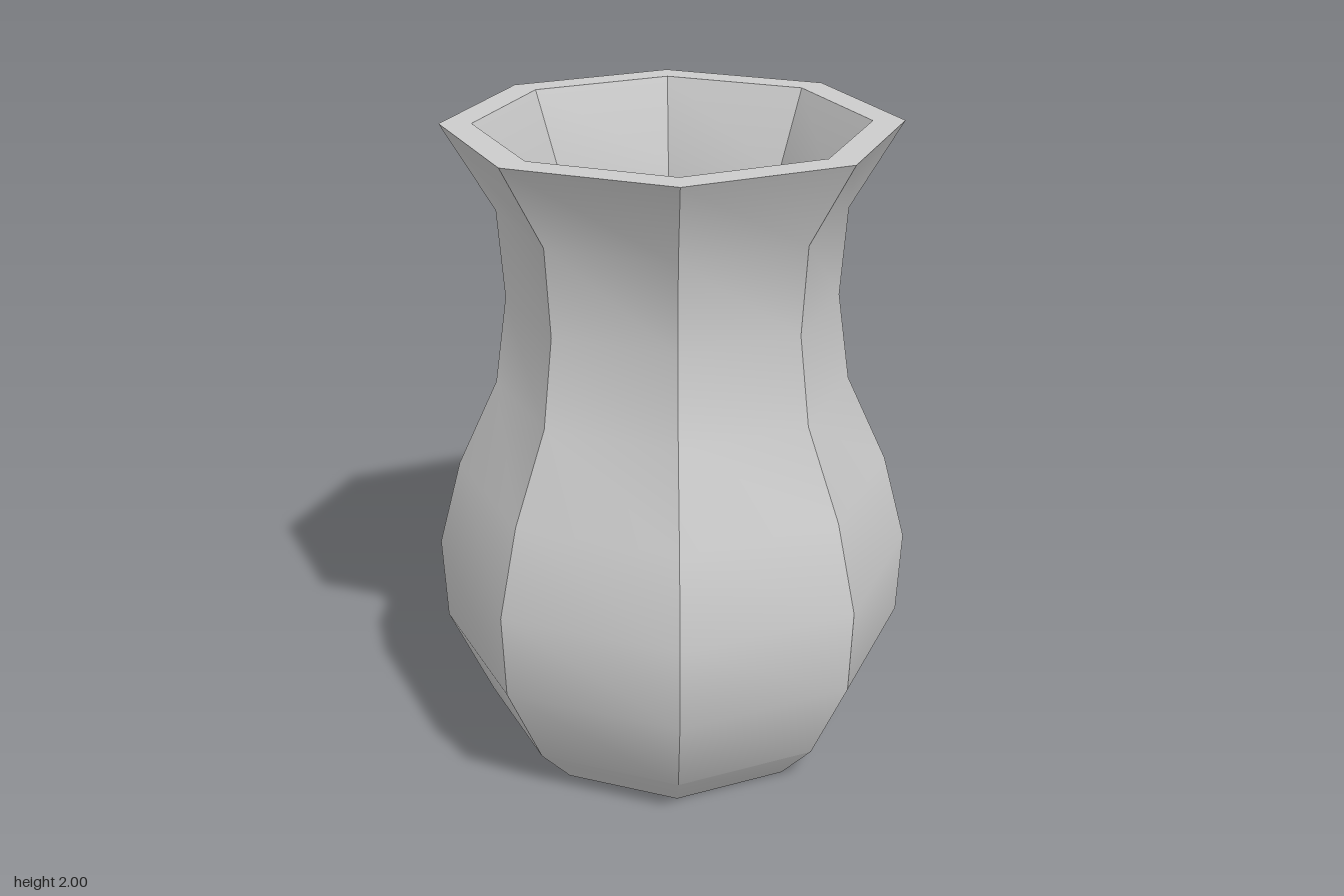
import * as THREE from 'three';
import { toCreasedNormals } from 'three/addons/utils/BufferGeometryUtils.js';

const SIDES = 8;
const CREASE = THREE.MathUtils.degToRad(35);

export function createModel() {
  const group = new THREE.Group();
  group.name = 'vase';

  // Outer wall, foot to lip: [radius, height]
  const outer = [
    [0, 0], [0.47, 0], [0.585, 0.125], [0.717, 0.4], [0.73, 0.66], [0.66, 0.93],
    [0.537, 1.2], [0.5, 1.47], [0.52, 1.74], [0.675, 2],
  ];
  // Inner wall, lip to floor
  const inner = [
    [0.58, 2], [0.48, 1.75], [0.455, 1.47], [0.49, 1.2], [0.615, 0.92],
    [0.685, 0.65], [0.67, 0.41], [0.55, 0.16], [0.435, 0.05], [0, 0.05],
  ];
  const profile = [...outer, ...inner].map(([r, y]) => new THREE.Vector2(r, y));

  // Eight-sided lathe: sharp between facets, soft along the profile
  const geometry = toCreasedNormals(new THREE.LatheGeometry(profile, SIDES), CREASE);
  const body = new THREE.Mesh(geometry, new THREE.MeshStandardMaterial({ color: 0xcccccc }));
  body.name = 'vaseBody';
  group.add(body);
  return group;
}
